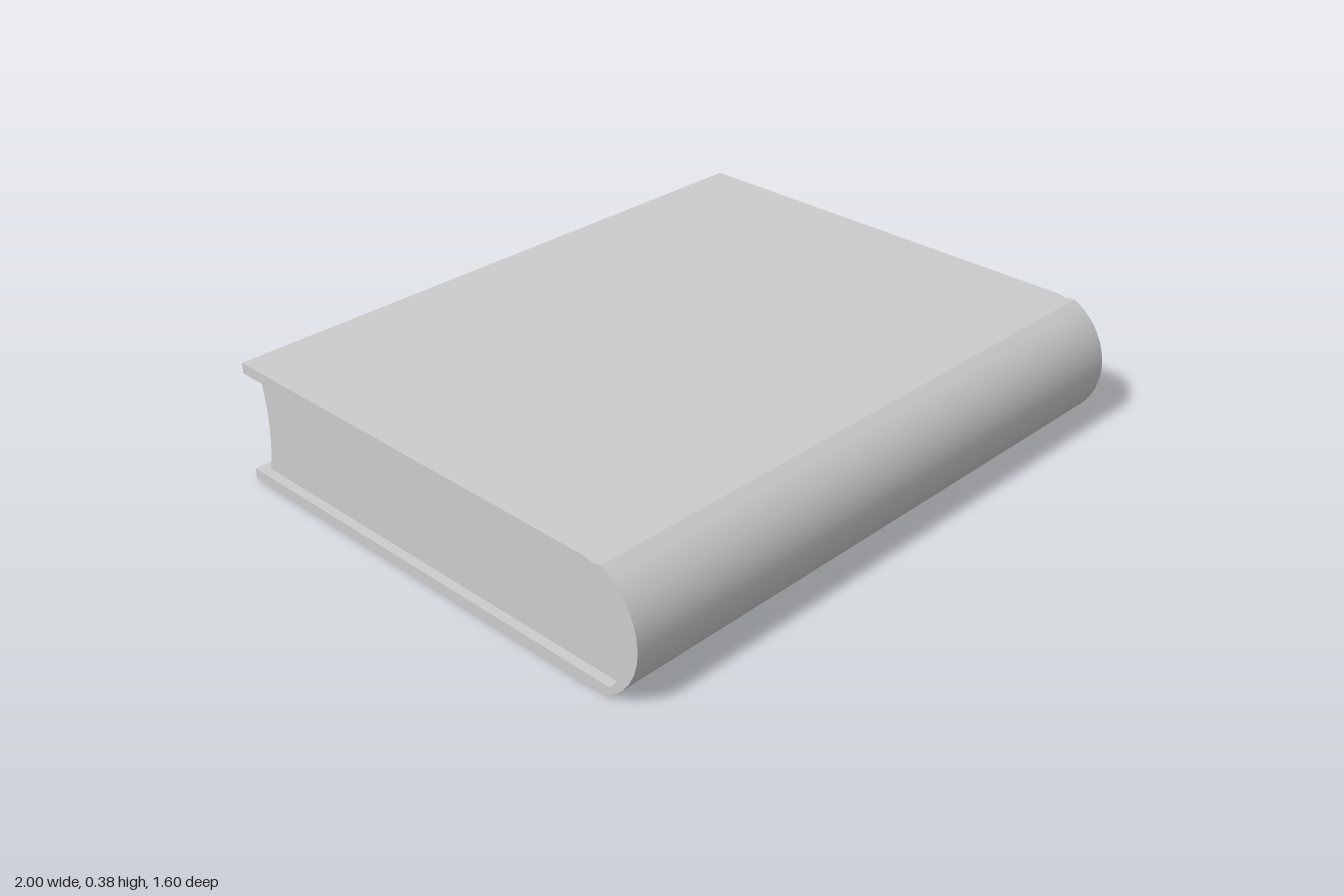
import * as THREE from 'three';
import { toCreasedNormals } from 'three/addons/utils/BufferGeometryUtils.js';

const HEIGHT = 0.385, MID = HEIGHT / 2, BOARD = 0.034;

// Arc from (z, MID + half) down to (z, MID - half), bulging towards +z
function arc(z, half, bulge, steps) {
  const r = (half * half + bulge * bulge) / (2 * bulge);
  const a = Math.asin(half / r);
  const points = [];
  for (let i = 0; i <= steps; i++) {
    const t = a - (2 * a * i) / steps;
    points.push(new THREE.Vector2(z + bulge - r + r * Math.cos(t), MID + r * Math.sin(t)));
  }
  return points;
}

// Extrudes a (z, y) profile along x, centred on x = 0
function extrudeAlongX(name, points, length, material) {
  let geometry = new THREE.ExtrudeGeometry(new THREE.Shape(points), { depth: length, bevelEnabled: false });
  geometry.translate(0, 0, -length / 2);
  geometry.rotateY(-Math.PI / 2);
  geometry = toCreasedNormals(geometry, 0.45);
  const mesh = new THREE.Mesh(geometry, material);
  mesh.name = name;
  return mesh;
}

export function createModel() {
  const group = new THREE.Group();
  group.name = 'book';
  const material = new THREE.MeshStandardMaterial({ color: 0xcccccc });
  const p = (z, y) => new THREE.Vector2(z, y);
  const inner = MID - BOARD;
  const spineInside = arc(0.7, inner, 0.062, 12);

  // Cover: two boards, hinge grooves and rounded spine in one C profile
  const cover = [
    p(-0.8, HEIGHT), p(0.625, HEIGHT), p(0.645, HEIGHT - 0.006),
    ...arc(0.68, MID, 0.12, 12),
    p(0.645, 0.006), p(0.625, 0), p(-0.8, 0), p(-0.8, BOARD),
    ...[...spineInside].reverse(),
    p(-0.8, HEIGHT - BOARD),
  ];
  group.add(extrudeAlongX('cover', cover, 2, material));

  // Page block: rounded at the spine, hollow at the fore edge
  const pages = [...spineInside, ...arc(-0.765, inner, 0.02, 10).reverse()];
  group.add(extrudeAlongX('pages', pages, 1.94, material));

  return group;
}
